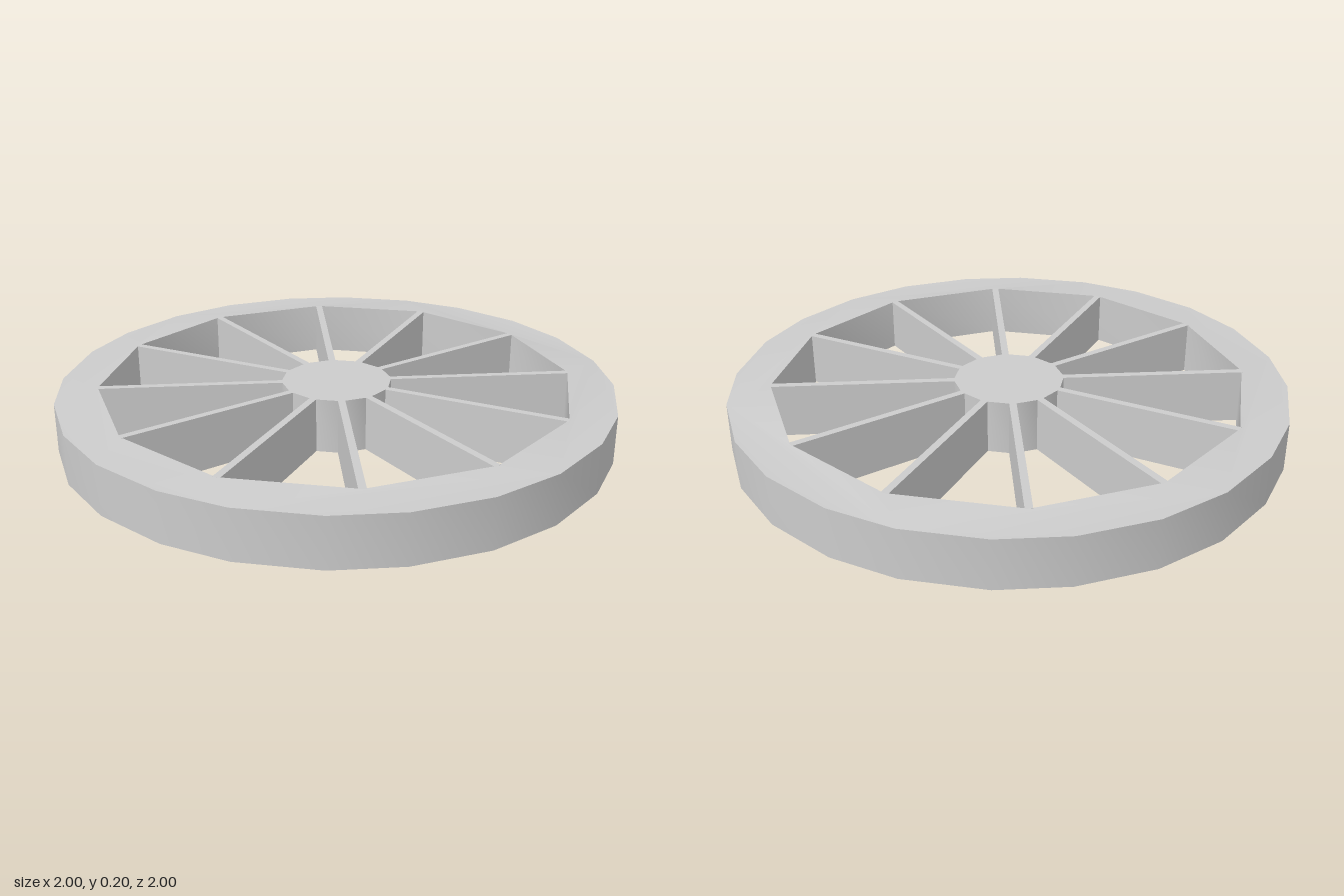
import * as THREE from 'three';
import { toCreasedNormals } from 'three/addons/utils/BufferGeometryUtils.js';

const HEIGHT = 0.2;
const SPOKES = 12;

const ring = (radius) => Array.from({ length: SPOKES }, (_, i) => {
  const a = (i / SPOKES) * Math.PI * 2;
  return new THREE.Vector2(Math.cos(a) * radius, Math.sin(a) * radius);
});

// Upright prism standing on y = 0, smooth around its sides with crisp rims
function prism(shape, adjust) {
  const geo = new THREE.ExtrudeGeometry(shape, { depth: HEIGHT, bevelEnabled: false });
  geo.rotateX(-Math.PI / 2);
  if (adjust) adjust(geo.attributes.position);
  return toCreasedNormals(geo, THREE.MathUtils.degToRad(35));
}

export function createModel() {
  const wheel = new THREE.Group();
  wheel.name = 'spokedWheel';
  const material = new THREE.MeshStandardMaterial({ color: 0xcccccc });
  const add = (name, geo) => {
    const mesh = new THREE.Mesh(geo, material);
    mesh.name = name;
    wheel.add(mesh);
    return mesh;
  };

  // Rim: 24-sided outside (one quarter repeated), 12-sided opening
  const quarter = [[1, 0.13], [0.927, 0.393], [0.805, 0.604], [0.604, 0.805], [0.393, 0.927], [0.13, 1]];
  const outline = [];
  for (let q = 0; q < 4; q++) {
    for (const [x, y] of quarter) {
      outline.push(new THREE.Vector2(x, y).rotateAround(new THREE.Vector2(), q * Math.PI / 2));
    }
  }
  const rimShape = new THREE.Shape(outline);
  rimShape.holes.push(new THREE.Path(ring(0.861).reverse()));
  // The outer edge is slightly thinner than the inner edge
  add('rim', prism(rimShape, (pos) => {
    for (let i = 0; i < pos.count; i++) {
      if (Math.hypot(pos.getX(i), pos.getZ(i)) > 0.95) pos.setY(i, 0.012 + pos.getY(i) * 0.9);
    }
  }));

  // Hub: solid 12-sided centre
  add('hub', prism(new THREE.Shape(ring(0.202))));

  // Spokes: thin full-height blades running to the corners of the opening
  const inner = 0.19, outer = 0.861;
  const blade = new THREE.BoxGeometry(outer - inner, HEIGHT, 0.026);
  blade.translate((inner + outer) / 2, HEIGHT / 2, 0);
  for (let i = 0; i < SPOKES; i++) {
    add(`spoke${i + 1}`, blade).rotation.y = (i / SPOKES) * Math.PI * 2;
  }
  return wheel;
}
